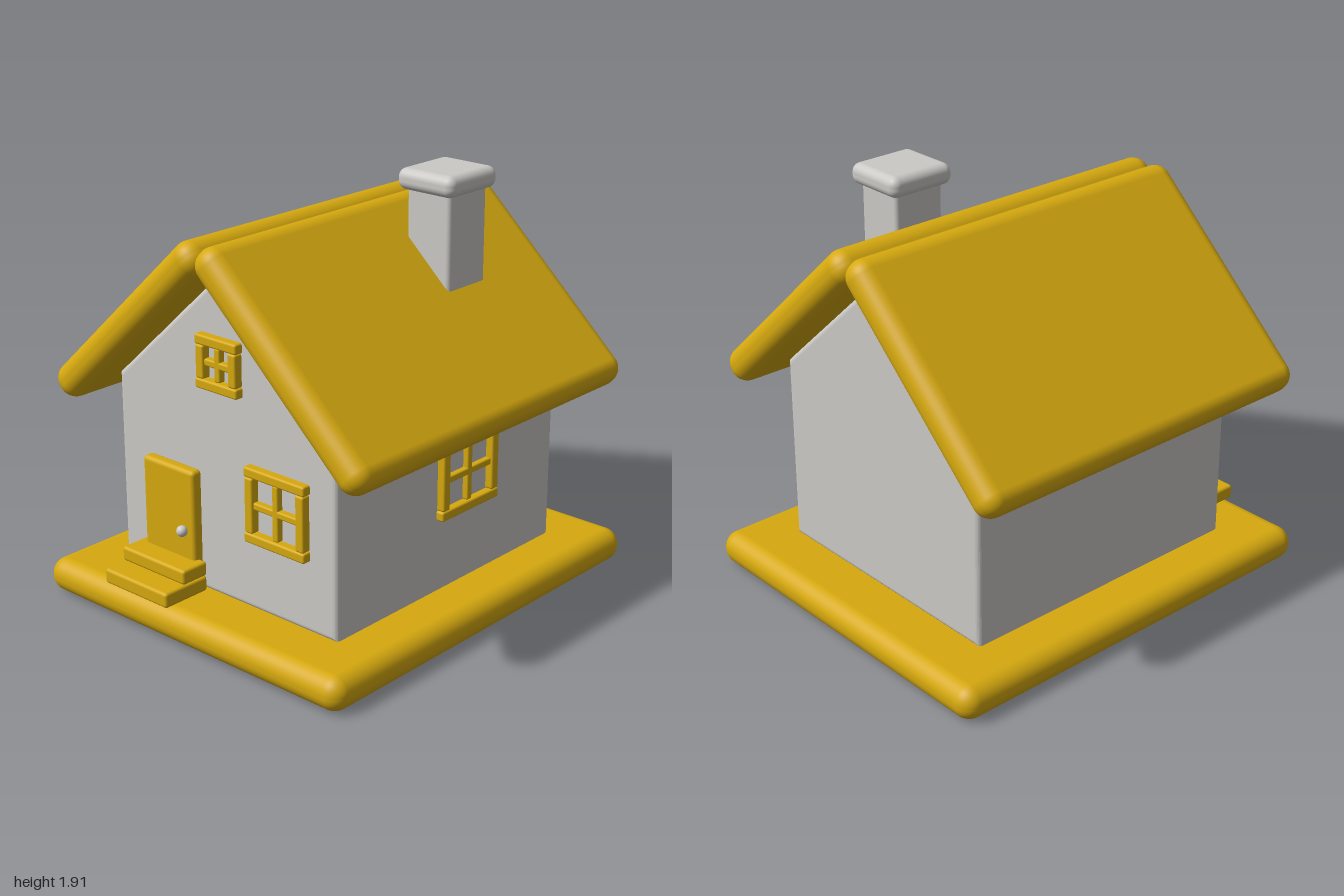
import * as THREE from 'three';
import { RoundedBoxGeometry } from 'three/addons/geometries/RoundedBoxGeometry.js';

const gold = new THREE.MeshStandardMaterial({ name: 'gold', color: 0xd6a90f });
const stone = new THREE.MeshStandardMaterial({ name: 'stone grey', color: 0xcbc9c5 });

// Rounded block given by its extents on each axis
function block(name, mat, [x0, x1], [y0, y1], [z0, z1], radius, segments = 4) {
  const geo = new RoundedBoxGeometry(x1 - x0, y1 - y0, z1 - z0, segments, radius);
  const mesh = new THREE.Mesh(geo, mat);
  mesh.name = name;
  mesh.position.set((x0 + x1) / 2, (y0 + y1) / 2, (z0 + z1) / 2);
  return mesh;
}

// Open window frame with a cross, facing +z, its back on z = 0
function makeWindow(name, w, h) {
  const group = new THREE.Group();
  group.name = name;
  const bar = 0.045, half = 0.016, x = w / 2, y = h / 2;
  const depth = [-0.01, 0.04], thin = [-0.01, 0.03];
  for (const s of [-1, 1]) {
    const rail = block('windowRail', gold, [-x, x], [-bar / 2, bar / 2], depth, 0.01);
    rail.position.y = s * (y - bar / 2);
    const stile = block('windowStile', gold, [-bar / 2, bar / 2], [bar - y, y - bar], depth, 0.01);
    stile.position.x = s * (x - bar / 2 - 0.004);
    group.add(rail, stile);
  }
  group.add(
    block('windowMullion', gold, [-half, half], [bar - y, y - bar], thin, 0.008),
    block('windowCrossbar', gold, [bar - x, x - bar], [-half, half], thin, 0.008)
  );
  return group;
}

export function createModel() {
  const house = new THREE.Group();
  house.name = 'house';

  // Ground slab
  house.add(block('base', gold, [-0.875, 0.875], [0, 0.157], [-1, 1], 0.075, 6));

  // Gabled walls with softened edges
  const bevel = 0.025;
  const outline = new THREE.Shape([
    [-0.635, 0.15], [0.635, 0.15], [0.635, 1.03], [0, 1.605], [-0.635, 1.03],
  ].map(([x, y]) => new THREE.Vector2(x, y)));
  const wallGeo = new THREE.ExtrudeGeometry(outline, {
    depth: 1.46 - 2 * bevel, bevelEnabled: true, bevelSize: bevel,
    bevelThickness: bevel, bevelOffset: -bevel, bevelSegments: 6,
  });
  wallGeo.translate(0, 0, bevel - 0.73);
  const walls = new THREE.Mesh(wallGeo, stone);
  walls.name = 'walls';
  house.add(walls);

  // Two sloping roof panels
  for (const s of [-1, 1]) {
    const panel = new THREE.Mesh(new RoundedBoxGeometry(1.172, 0.158, 1.79, 6, 0.074), gold);
    panel.name = s > 0 ? 'leftRoof' : 'rightRoof';
    panel.position.set(s * 0.4425, 1.3225, 0);
    panel.rotation.z = -s * 0.742;
    house.add(panel);
  }

  // Chimney
  house.add(
    block('chimney', stone, [0.23, 0.465], [1.28, 1.84], [-0.42, -0.168], 0.02),
    block('chimneyCap', stone, [0.195, 0.5], [1.82, 1.915], [-0.457, -0.13], 0.04, 5)
  );

  // Door, knob and steps
  const knob = new THREE.Mesh(new THREE.SphereGeometry(0.025, 20, 14), stone);
  knob.name = 'doorKnob';
  knob.position.set(-0.198, 0.425, 0.795);
  house.add(
    block('door', gold, [-0.45, -0.14], [0.16, 0.705], [0.72, 0.78], 0.02),
    knob,
    block('lowerStep', gold, [-0.487, -0.1], [0.157, 0.226], [0.745, 0.99], 0.014),
    block('upperStep', gold, [-0.487, -0.1], [0.228, 0.295], [0.745, 0.885], 0.014)
  );

  // Windows: two on the front, one on the side
  const front = makeWindow('frontWindow', 0.34, 0.34);
  front.position.set(0.32, 0.645, 0.73);
  const attic = makeWindow('atticWindow', 0.24, 0.238);
  attic.position.set(0, 1.213, 0.73);
  const side = makeWindow('sideWindow', 0.385, 0.357);
  side.position.set(0.632, 0.667, -0.097);
  side.rotation.y = Math.PI / 2;
  house.add(front, attic, side);

  return house;
}
